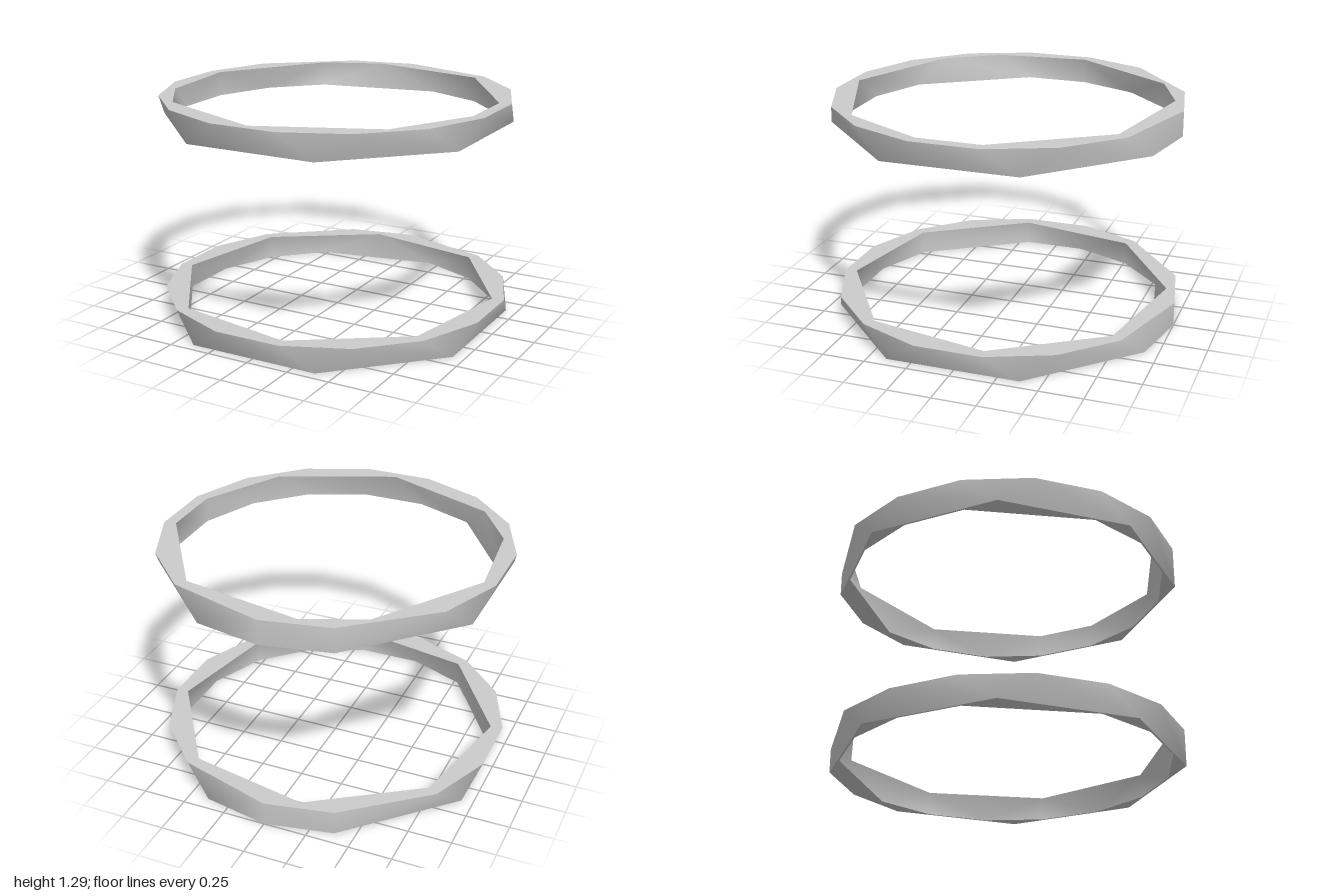
import * as THREE from 'three';
import { mergeGeometries } from 'three/addons/utils/BufferGeometryUtils.js';

const OUTER = 1.01, INNER = 0.94;

// A loop lists its corners as steps of 1/32 turn, from the front towards +x.
const loop = (steps, radius, y) => ({
  steps,
  points: steps.map((k) => {
    const a = (k * Math.PI) / 16;
    return [radius * Math.sin(a), y, radius * Math.cos(a) + 0.01];
  }),
});

// Skin between two loops that may have different corner counts.
function strip(a, b) {
  const na = a.steps.length, nb = b.steps.length;
  const at = (l, i) => l.steps[i % l.steps.length] + 32 * Math.floor(i / l.steps.length);
  const mid = (l, i) => at(l, i) + at(l, i + 1);
  const index = [];
  let i = 0, j = 0;
  while (i < na || j < nb) {
    const p = i % na, q = na + (j % nb);
    if (j >= nb || (i < na && mid(a, i) <= mid(b, j))) {
      index.push(p, (i + 1) % na, q);
      i++;
    } else {
      index.push(p, na + ((j + 1) % nb), q);
      j++;
    }
  }
  const geometry = new THREE.BufferGeometry();
  geometry.setAttribute('position', new THREE.Float32BufferAttribute([...a.points, ...b.points].flat(), 3));
  geometry.setIndex(index);
  geometry.computeVertexNormals();
  return geometry;
}

// Ring: outer wall, top face, inner wall, bottom face, each with its own normals.
function ring(name, y0, y1, innerTopSteps, material) {
  const outerBottom = loop([2, 6, 10, 14, 16, 18, 22, 26, 30], OUTER, y0);
  const outerTop = loop([1, 3, 5, 7, 9, 11, 13, 16, 18, 21, 23, 25, 27, 29, 31], OUTER, y1);
  const innerTop = loop(innerTopSteps, INNER, y1);
  const innerBottom = loop([1, 3, 5, 7, 9, 11, 13, 15, 19, 21, 23, 25, 29, 31], INNER, y0);
  const loops = [outerBottom, outerTop, innerTop, innerBottom];
  const geometry = mergeGeometries(loops.map((l, i) => strip(l, loops[(i + 1) % 4])));
  const mesh = new THREE.Mesh(geometry, material);
  mesh.name = name;
  return mesh;
}

export function createModel() {
  const group = new THREE.Group();
  group.name = 'ringPair';
  const material = new THREE.MeshStandardMaterial({ color: 0xcccccc, side: THREE.DoubleSide });
  group.add(
    ring('lowerRing', 0, 0.14, [1, 5, 9, 13, 17, 21, 25, 29], material),
    ring('upperRing', 1.145, 1.29, [0, 4, 7, 9, 13, 17, 19, 23, 26, 28], material),
  );
  return group;
}
